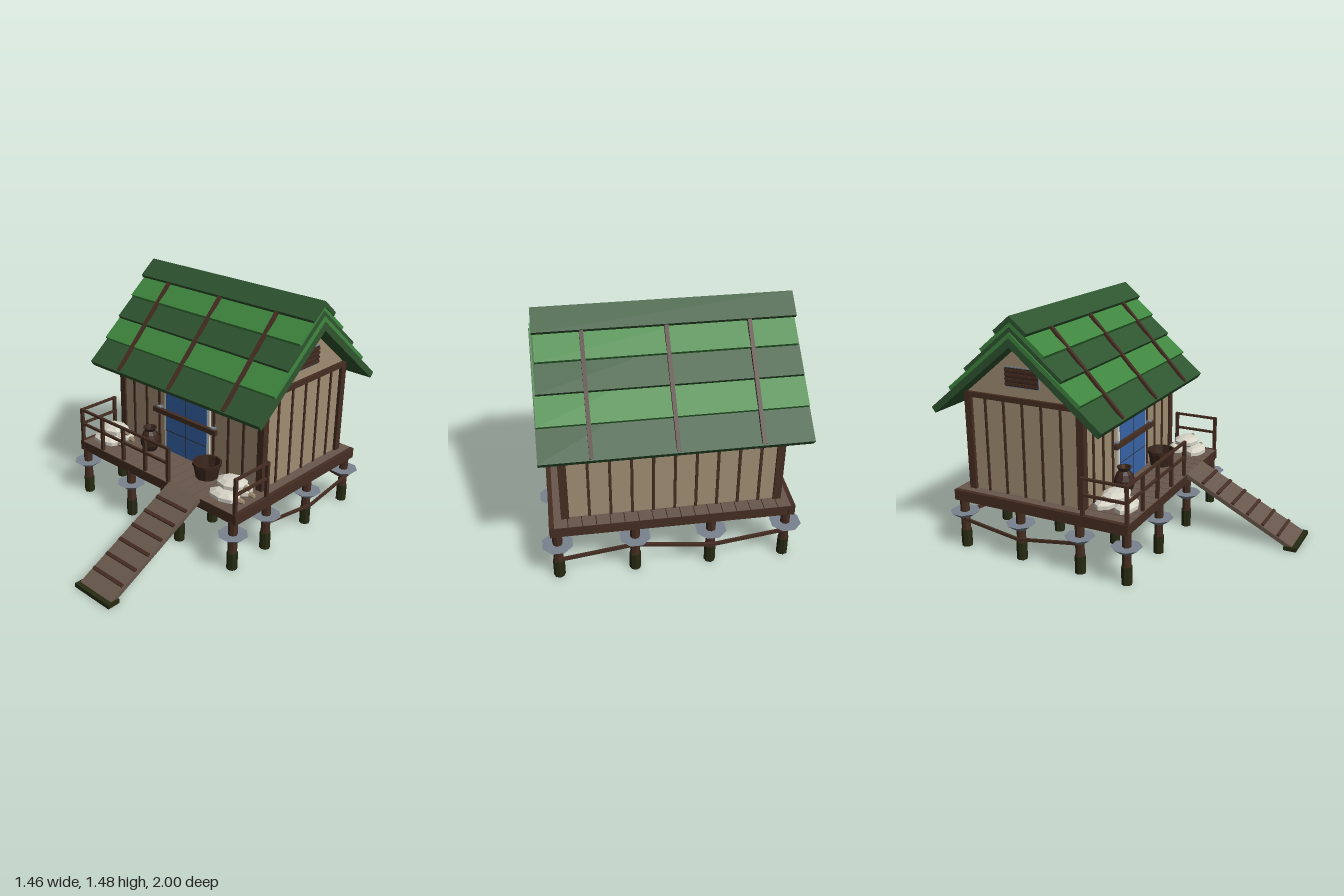
import * as THREE from 'three';

const mat = (name, color) => {
  const m = new THREE.MeshStandardMaterial({ color, flatShading: true });
  m.name = name;
  return m;
};

export function createModel() {
  const root = new THREE.Group();
  root.name = 'stiltHut';
  const darkGreen = mat('dark green thatch', 0x2f5530), lightGreen = mat('light green thatch', 0x3f873f),
    brown = mat('dark brown timber', 0x452d22), tan = mat('tan wall', 0xa08d73),
    blue = mat('blue door', 0x3765a8), grey = mat('grey metal', 0x78828e),
    moss = mat('mossy wood', 0x272a12), plank = mat('weathered plank', 0x68574c),
    cream = mat('cream cloth', 0xd6d3c6), clay = mat('dark clay', 0x38241b);

  const group = (name, parent = root) => {
    const g = new THREE.Group();
    g.name = name;
    parent.add(g);
    return g;
  };
  const add = (parent, name, geo, material, x = 0, y = 0, z = 0) => {
    const m = new THREE.Mesh(geo, material);
    m.name = name;
    m.position.set(x, y, z);
    parent.add(m);
    return m;
  };
  // Box given by its minimum and maximum on each axis
  const block = (parent, name, material, x0, x1, y0, y1, z0, z1) =>
    add(parent, name, new THREE.BoxGeometry(x1 - x0, y1 - y0, z1 - z0), material,
      (x0 + x1) / 2, (y0 + y1) / 2, (z0 + z1) / 2);
  // Square beam between two points
  const beam = (parent, name, material, a, b, w, h) => {
    const p = new THREE.Vector3(...a), q = new THREE.Vector3(...b);
    const m = add(parent, name, new THREE.BoxGeometry(w, h, p.distanceTo(q)), material);
    m.position.copy(p).lerp(q, 0.5);
    m.lookAt(q);
    return m;
  };
  // Profile of [distance from ridge, height], extruded along x
  const ridgeZ = -0.434;
  const alongX = (pts, halfWidth) => {
    const g = new THREE.ExtrudeGeometry(new THREE.Shape(pts.map(p => new THREE.Vector2(...p))),
      { depth: 2 * halfWidth, bevelEnabled: false });
    return g.rotateY(Math.PI / 2).translate(-halfWidth, 0, ridgeZ);
  };

  // Stilts with metal cone guards
  const stilts = group('stilts');
  const postX = [-0.645, -0.215, 0.215, 0.645], postZ = [0.245, -0.055, -0.455, -0.86];
  for (const x of postX) for (const z of postZ) {
    add(stilts, 'stiltFoot', new THREE.CylinderGeometry(0.033, 0.033, 0.11, 8), moss, x, 0.055, z);
    add(stilts, 'stilt', new THREE.CylinderGeometry(0.028, 0.028, 0.22, 8), brown, x, 0.21, z);
    add(stilts, 'coneGuard', new THREE.CylinderGeometry(0.09, 0.036, 0.04, 8).rotateY(Math.PI / 8), grey, x, 0.212, z);
  }
  // Zigzag braces along the back and both sides
  const level = [0.2, 0.14, 0.2, 0.14];
  for (let i = 0; i < 3; i++)
    beam(stilts, 'backBrace', brown, [postX[i], level[i], -0.895], [postX[i + 1], level[i + 1], -0.895], 0.016, 0.018);
  for (const x of [-0.683, 0.683]) for (let i = 1; i < 3; i++)
    beam(stilts, 'sideBrace', brown, [x, level[i - 1], postZ[i]], [x, level[i], postZ[i + 1]], 0.014, 0.018);

  // Platform
  const deck = group('platform');
  for (const s of [-1, 1])
    add(deck, 'sideBeam', new THREE.BoxGeometry(0.035, 0.065, 1.17), brown, s * 0.665, 0.343, -0.315);
  for (const z of [0.25, -0.055, -0.455, -0.88])
    add(deck, 'crossBeam', new THREE.BoxGeometry(1.29, 0.045, 0.035), brown, 0, 0.333, z);
  block(deck, 'subfloor', clay, -0.65, 0.65, 0.343, 0.358, -0.89, 0.26);
  for (let i = 0; i < 17; i++)
    add(deck, 'deckPlank', new THREE.BoxGeometry(0.073, 0.02, 1.17), plank, (i - 8) * 0.0775, 0.367, -0.315);
  for (const z of [0.268, -0.899])
    add(deck, 'edgeStrip', new THREE.BoxGeometry(1.36, 0.022, 0.008), brown, 0, 0.364, z);

  // House body with gables
  const house = group('house');
  add(house, 'walls', alongX([[-0.385, 0.375], [0.385, 0.375], [0.385, 0.985], [0, 1.302], [-0.385, 0.985]], 0.595), tan);
  for (const x of [-0.593, 0.593]) for (const z of [-0.058, -0.81])
    add(house, 'cornerPost', new THREE.BoxGeometry(0.045, 0.6, 0.045), brown, x, 0.675, z);
  for (const x of [-0.6, 0.6])
    add(house, 'sidePlate', new THREE.BoxGeometry(0.03, 0.032, 0.79), brown, x, 0.971, ridgeZ);
  for (const z of [-0.05, -0.818])
    add(house, 'wallPlate', new THREE.BoxGeometry(1.23, 0.032, 0.025), brown, 0, 0.955, z);
  for (let i = 1; i < 10; i++) {
    const x = -0.603 + 0.118 * i;
    add(house, 'backBatten', new THREE.BoxGeometry(0.015, 0.58, 0.012), brown, x, 0.665, -0.822);
    if (Math.abs(x) > 0.2)
      add(house, 'frontBatten', new THREE.BoxGeometry(0.015, 0.58, 0.012), brown, x, 0.665, -0.046);
  }
  for (const s of [-1, 1]) {
    for (let i = 0; i < 5; i++)
      add(house, 'sideBatten', new THREE.BoxGeometry(0.012, 0.58, 0.014), brown, s * 0.598, 0.665, -0.188 - 0.127 * i);
    // Gable vent
    add(house, 'ventFrame', new THREE.BoxGeometry(0.012, 0.12, 0.232), grey, s * 0.595, 1.104, ridgeZ);
    add(house, 'ventOpening', new THREE.BoxGeometry(0.016, 0.108, 0.22), clay, s * 0.596, 1.104, ridgeZ);
    for (let i = 0; i < 4; i++)
      add(house, 'ventSlat', new THREE.BoxGeometry(0.018, 0.014, 0.22), brown, s * 0.602, 1.064 + i * 0.027, ridgeZ);
  }

  // Barred double door
  const door = group('door');
  block(door, 'doorFrame', cream, -0.195, 0.195, 0.378, 0.9, -0.055, -0.036);
  block(door, 'doorPanel', blue, -0.175, 0.175, 0.378, 0.88, -0.05, -0.03);
  block(door, 'doorSeam', clay, -0.002, 0.002, 0.378, 0.88, -0.032, -0.029);
  block(door, 'doorLine', clay, -0.175, 0.175, 0.518, 0.522, -0.032, -0.029);
  block(door, 'doorBar', brown, -0.27, 0.27, 0.634, 0.665, -0.028, -0.004);
  for (const x of [-0.228, 0.228])
    add(door, 'barBracket', new THREE.BoxGeometry(0.03, 0.05, 0.03), grey, x, 0.647, -0.03);

  // Stepped thatch roof: stacked chevrons, shorter towards the ridge
  const roof = group('roof');
  const slope = 0.82;
  const layers = [[0.565, 0.71, 0], [0.436, 0.705, 1], [0.324, 0.698, 0], [0.212, 0.69, 1], [0.11, 0.697, 0]];
  layers.forEach(([end, half, light], k) => {
    const top = 1.355 + 0.03 * k, bottom = k ? top - 0.032 : 1.303;
    const cut = end - (top - bottom) * 0.45;
    add(roof, k === 4 ? 'ridgeCap' : 'thatchLayer', alongX([
      [-end, top - slope * end], [-cut, bottom - slope * cut], [0, bottom], [cut, bottom - slope * cut],
      [end, top - slope * end], [0, top]], half), light ? lightGreen : darkGreen);
  });
  for (const x of [-0.442, 0, 0.442]) for (const s of [-1, 1])
    beam(roof, 'roofStrip', brown, [x, 0.898, ridgeZ + s * 0.56], [x, 1.378, ridgeZ + s * 0.108], 0.022, 0.018);

  // Porch railings
  const railing = group('railing');
  const railPost = (x, z) => add(railing, 'railPost', new THREE.BoxGeometry(0.02, 0.23, 0.02), brown, x, 0.49, z);
  for (let i = 0; i < 5; i++) railPost(-0.667 + 0.2 * i, 0.258);
  railPost(0.667, 0.258);
  for (const x of [-0.667, 0.667]) railPost(x, -0.02);
  for (const y of [0.5, 0.598]) {
    block(railing, 'frontRail', brown, -0.677, 0.143, y - 0.007, y + 0.007, 0.25, 0.266);
    for (const x of [-0.667, 0.667])
      block(railing, 'sideRail', brown, x - 0.008, x + 0.008, y - 0.007, y + 0.007, -0.03, 0.266);
  }

  // Ramp with cleats
  const ramp = group('ramp');
  beam(ramp, 'rampBoard', plank, [0.28, 0.37, 0.265], [0.28, 0.014, 0.965], 0.262, 0.026);
  for (let i = 0; i < 6; i++) {
    const z = 0.375 + 0.1 * i, y = 0.331 - 0.0509 * i;
    beam(ramp, 'cleat', brown, [0.28, y + 0.004, z - 0.009], [0.28, y - 0.005, z + 0.009], 0.245, 0.022);
  }
  block(ramp, 'footBoard', moss, 0.137, 0.423, 0, 0.025, 0.92, 1);

  // Grain sacks in two piles
  const sack = (parent, x, y, z, rx, ry, rz, turn) => {
    const g = group('sack', parent);
    g.position.set(x, y, z);
    g.rotation.y = turn;
    add(g, 'sackBody', new THREE.SphereGeometry(1, 8, 5).scale(rx, ry, rz), cream);
    add(g, 'sackNeck', new THREE.CylinderGeometry(0.012, 0.018, 0.035, 6).rotateZ(-Math.PI / 2), tan, rx + 0.005, 0, 0);
  };
  for (const x of [-0.51, 0.52]) {
    const pile = group('sackPile');
    sack(pile, x, 0.41, 0.18, 0.112, 0.036, 0.068, 0.1);
    sack(pile, x, 0.41, 0.06, 0.112, 0.036, 0.068, -0.1);
    sack(pile, x, 0.467, 0.115, 0.104, 0.036, 0.085, 0.05);
  }

  // Clay jar and basket
  const lathe = (name, pts, material, sides, x, z) => {
    material.side = THREE.DoubleSide;
    add(root, name, new THREE.LatheGeometry(pts.map(p => new THREE.Vector2(...p)), sides), material, x, 0.377, z);
  };
  lathe('jar', [[0, 0], [0.042, 0], [0.062, 0.04], [0.064, 0.08], [0.05, 0.115], [0.032, 0.135],
    [0.046, 0.158], [0.034, 0.158], [0.026, 0.135], [0, 0.13]], clay, 10, -0.257, 0.035);
  lathe('basket', [[0, 0], [0.07, 0], [0.086, 0.085], [0.092, 0.085], [0.092, 0.102], [0.08, 0.102],
    [0.066, 0.03], [0, 0.03]], clay, 10, 0.255, 0.045);

  return root;
}
